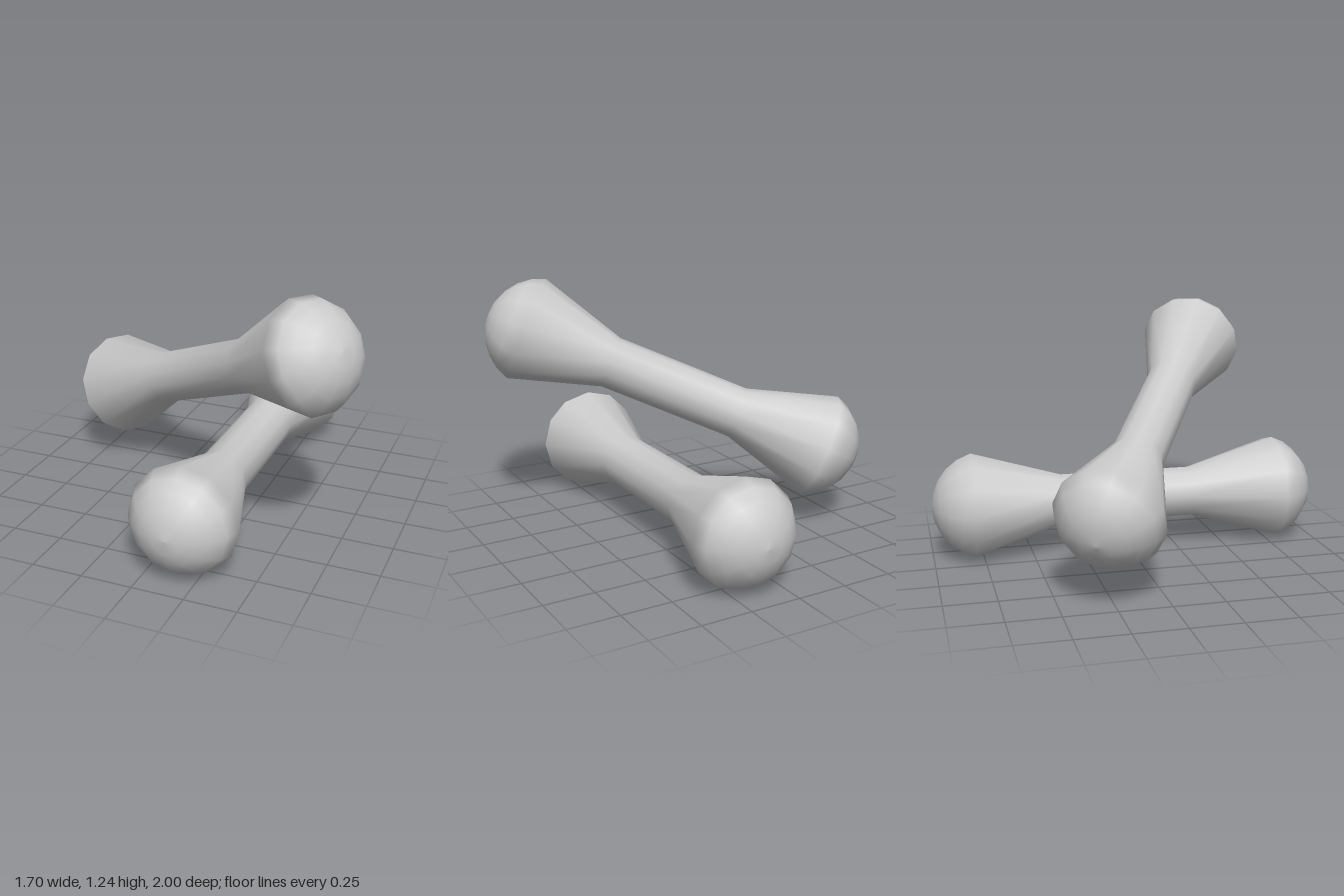
import * as THREE from 'three';

// Half profile of a dumbbell-like bone: domed cap, flared knob, narrow shaft
function boneGeometry() {
  const rimR = 0.267, rimY = 0.8, domeR = 0.278, domeY = 0.722, steps = 5;
  const rimAngle = Math.atan2(rimR, rimY - domeY);
  const upper = [new THREE.Vector2(0.131, 0.345)];
  for (let i = 0; i <= steps; i++) {
    const a = rimAngle * (1 - i / steps);
    upper.push(new THREE.Vector2(domeR * Math.sin(a), domeY + domeR * Math.cos(a)));
  }
  const lower = upper.map(p => new THREE.Vector2(p.x, -p.y)).reverse();
  return new THREE.LatheGeometry([...lower, ...upper], 12);
}

// Place a bone so its length follows `axis` and one of its corners follows `side`
function addBone(group, name, geometry, position, axis, side) {
  const y = axis.clone().normalize();
  const x = side.clone().normalize();
  const z = new THREE.Vector3().crossVectors(x, y);
  const mesh = new THREE.Mesh(geometry, new THREE.MeshStandardMaterial({ color: 0xcccccc }));
  mesh.name = name;
  mesh.quaternion.setFromRotationMatrix(new THREE.Matrix4().makeBasis(x, y, z));
  mesh.position.copy(position);
  group.add(mesh);
}

export function createModel() {
  const group = new THREE.Group();
  group.name = 'crossedBones';
  const geometry = boneGeometry();

  // Bone lying flat, front to back
  addBone(group, 'lowerBone', geometry, new THREE.Vector3(0.165, 0.268, 0),
    new THREE.Vector3(0, 0, 1), new THREE.Vector3(1, 0, 0));

  // Tilted bone crossing above it
  const axis = new THREE.Vector3(0.795, 0.378, 0.467);
  addBone(group, 'upperBone', geometry, new THREE.Vector3(0, 0.7, 0.11),
    axis, new THREE.Vector3(-axis.y, axis.x, 0));

  return group;
}
